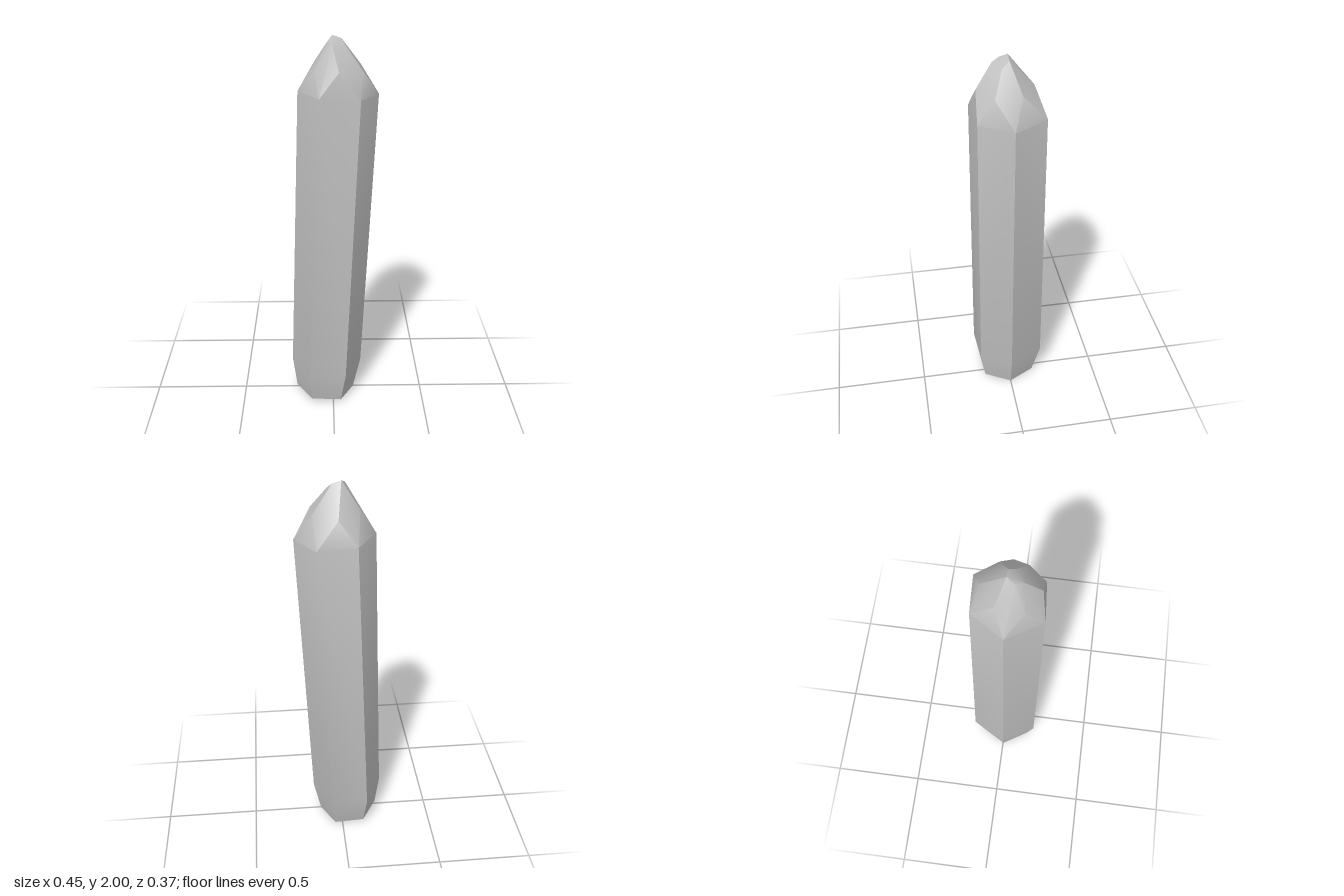
import * as THREE from 'three';
import { ConvexGeometry } from 'three/addons/geometries/ConvexGeometry.js';
import { toCreasedNormals } from 'three/addons/utils/BufferGeometryUtils.js';

export function createModel() {
  const group = new THREE.Group();
  group.name = 'crystal';
  const stone = new THREE.MeshStandardMaterial({ color: 0xbfbfbf });
  stone.name = 'grey stone';

  // leaning hexagonal shaft: foot, shoulder of the foot chamfer, upper shoulder
  const foot = [
    [-0.205, 0.016, 0.004], [-0.12, 0.012, 0.14], [0.042, 0.004, 0.14],
    [0.115, 0, 0], [0.042, 0.004, -0.14], [-0.12, 0.012, -0.14],
  ];
  const lower = [
    [-0.228, 0.19, 0.005], [-0.13, 0.18, 0.181], [0.068, 0.18, 0.166],
    [0.155, 0.18, 0], [0.06, 0.18, -0.184], [-0.135, 0.18, -0.18],
  ];
  const upper = [
    [-0.175, 1.73, 0.005], [-0.07, 1.73, 0.178], [0.13, 1.72, 0.162],
    [0.226, 1.715, 0], [0.125, 1.72, -0.17], [-0.07, 1.73, -0.16],
  ];
  // uneven pointed tip: ring of facet corners, then the small crown
  const facets = [
    [-0.09, 1.85, 0.087], [0.025, 1.85, 0.153], [0.14, 1.845, 0.08],
    [0.138, 1.85, -0.05], [0.02, 1.85, -0.125], [-0.09, 1.868, -0.045],
  ];
  const crown = [
    [-0.005, 2, -0.003], [-0.025, 1.98, 0.035], [-0.005, 1.965, 0.072],
    [0.06, 1.955, 0.035], [0.04, 1.985, -0.003],
  ];

  const points = [foot, lower, upper, facets, crown].flat()
    .map((p) => new THREE.Vector3(...p));
  const hull = new ConvexGeometry(points);
  const crystal = new THREE.Mesh(toCreasedNormals(hull, 0.56), stone);
  crystal.name = 'crystalShaft';
  group.add(crystal);
  return group;
}
